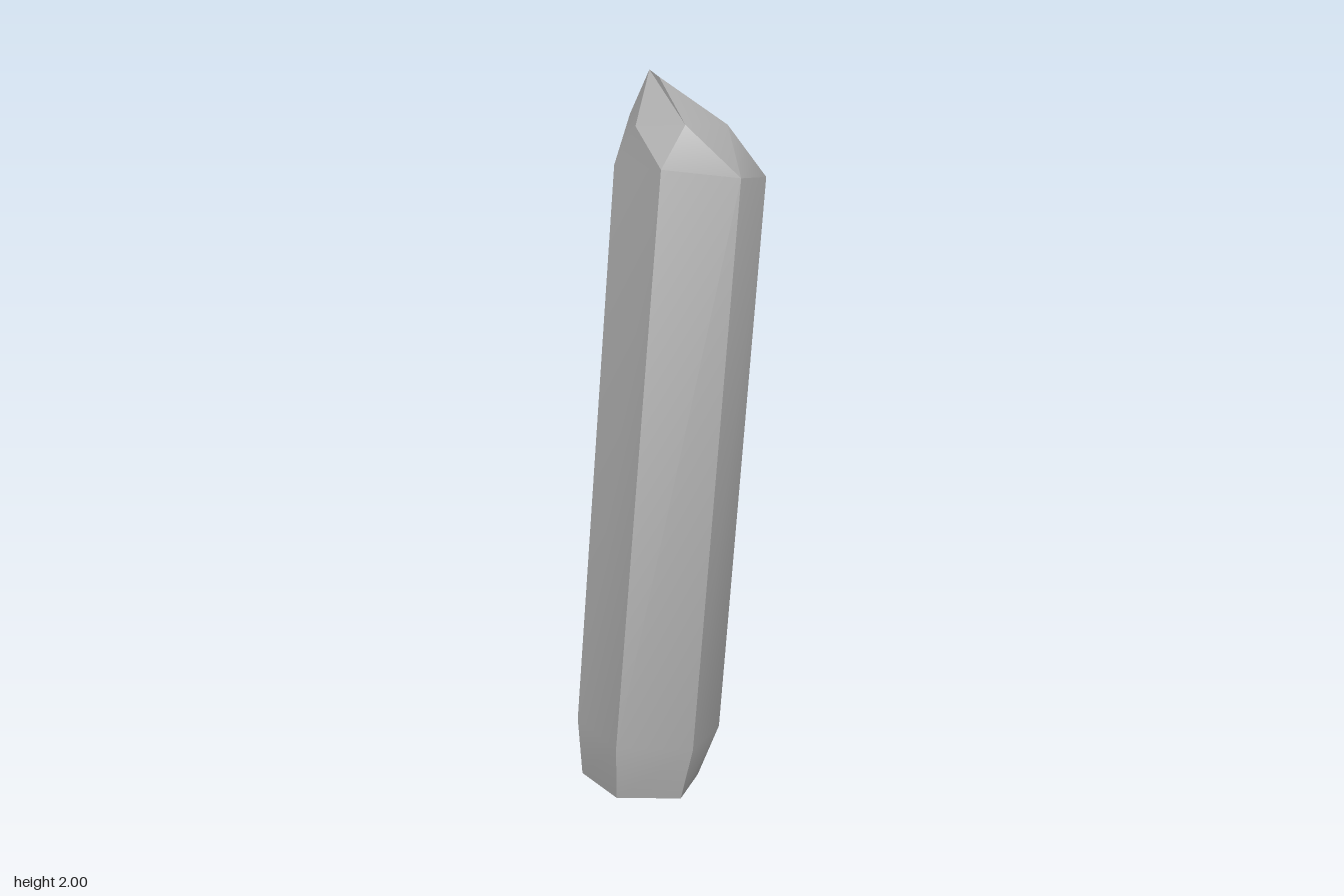
import * as THREE from 'three';
import { toCreasedNormals } from 'three/addons/utils/BufferGeometryUtils.js';

export function createModel() {
  const group = new THREE.Group();
  group.name = 'crystal';
  const stone = new THREE.MeshStandardMaterial({ color: 0xaaaaaa });
  stone.name = 'grey stone';

  // Hexagonal cross-sections of the leaning shaft, same corner order in each
  const base = [
    [-0.255, 0.042, 0.09], [-0.16, 0.05, 0.24], [0.02, 0.035, 0.23],
    [0.08, 0.011, 0.065], [0, 0.0, -0.04], [-0.165, 0.02, -0.035],
  ];
  const lower = [
    [-0.265, 0.22, 0.093], [-0.16, 0.22, 0.266], [0.052, 0.2, 0.252],
    [0.14, 0.172, 0.07], [0.01, 0.17, -0.105], [-0.185, 0.195, -0.085],
  ];
  const upper = [
    [-0.14, 1.76, -0.072], [-0.025, 1.77, 0.082], [0.18, 1.745, 0.072],
    [0.265, 1.72, -0.105], [0.137, 1.72, -0.268], [-0.06, 1.74, -0.268],
  ];
  // Crown: one point above each shaft side, then the short ridge at the tip
  const crown = [
    [-0.085, 1.865, -0.03], [0.04, 1.875, 0.03], [0.155, 1.865, -0.048],
    [0.14, 1.85, -0.185], [0.015, 1.855, -0.242], [-0.095, 1.88, -0.165],
  ];
  const peak = [-0.045, 2, -0.11];
  const frontTip = [-0.022, 1.985, -0.073];
  const backTip = [-0.028, 1.985, -0.147];

  const positions = [];
  // Fan of triangles for a convex face, corners counter-clockwise from outside
  const face = (...p) => {
    for (let i = 1; i < p.length - 1; i++) positions.push(...p[0], ...p[i], ...p[i + 1]);
  };

  // Underside, bevel, shaft sides and lower crown triangles
  face(...[...base].reverse());
  for (let i = 0; i < 6; i++) {
    const j = (i + 1) % 6;
    face(base[i], base[j], lower[j], lower[i]);
    face(lower[i], lower[j], upper[j], upper[i]);
    face(upper[i], upper[j], crown[i]);
  }

  // Upper crown facets, one rising from each shaft corner
  const tips = [
    [peak], [frontTip, peak], [frontTip], [backTip, peak, frontTip], [backTip], [peak, backTip],
  ];
  for (let i = 0; i < 6; i++) {
    const before = crown[(i + 5) % 6];
    face(upper[i], crown[i], before);
    const [first, ...rest] = [crown[i], ...tips[i], before];
    face(first, ...rest);
  }

  const geometry = new THREE.BufferGeometry();
  geometry.setAttribute('position', new THREE.Float32BufferAttribute(positions, 3));
  const shard = new THREE.Mesh(toCreasedNormals(geometry, 0.55), stone);
  shard.name = 'crystalShard';
  group.add(shard);
  return group;
}
